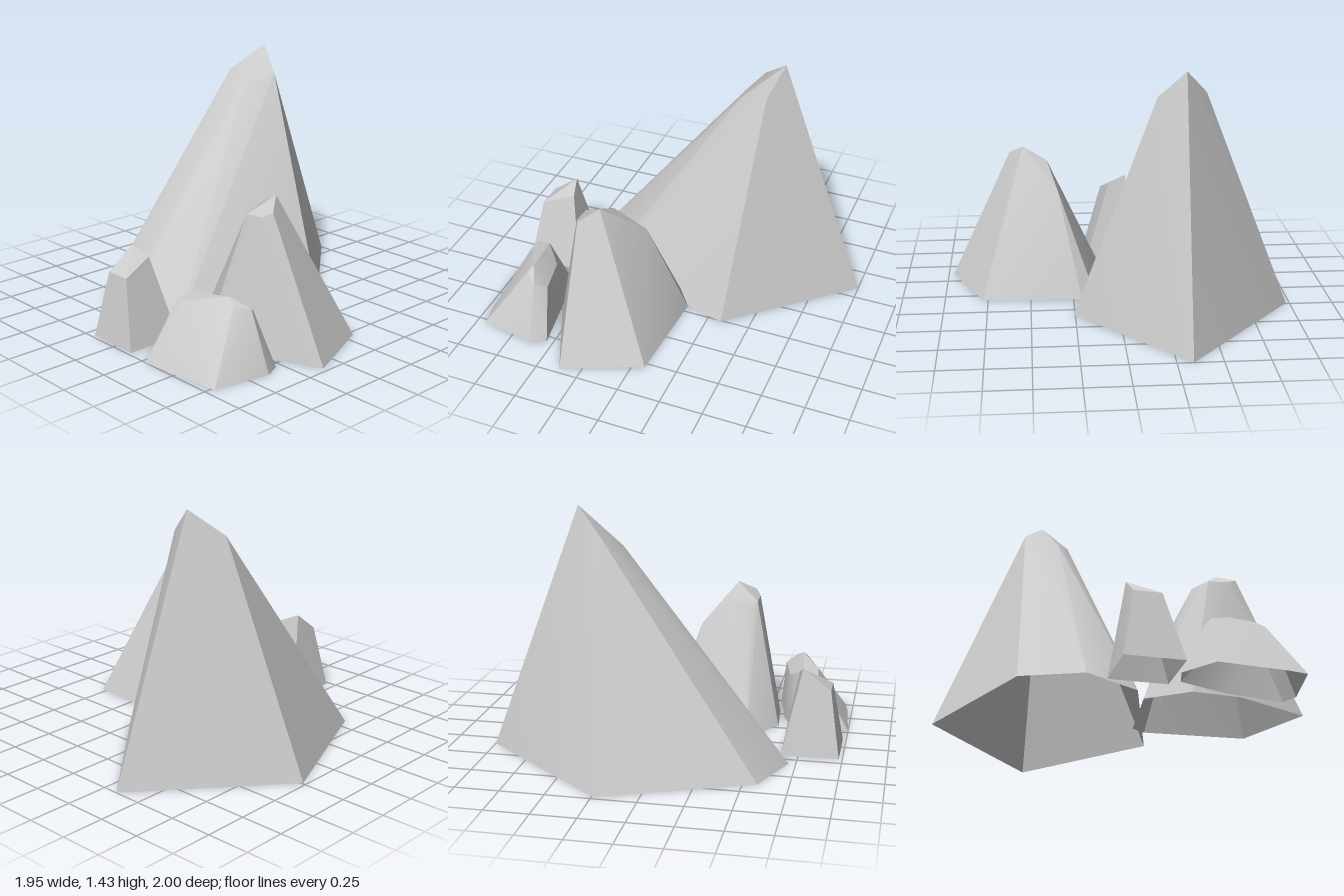
import * as THREE from 'three';
import { ConvexGeometry } from 'three/addons/geometries/ConvexGeometry.js';
import { toCreasedNormals } from 'three/addons/utils/BufferGeometryUtils.js';

const material = new THREE.MeshStandardMaterial({ color: 0xcccccc, side: THREE.DoubleSide });

// Hull over a ground outline [x, z] and crest points [x, y, z], left open underneath
function makeRock(name, outline, crest) {
  const points = [
    ...outline.map(([x, z]) => new THREE.Vector3(x, 0, z)),
    ...crest.map((p) => new THREE.Vector3(...p)),
  ];
  const hull = new ConvexGeometry(points).getAttribute('position');
  const shell = [];
  for (let i = 0; i < hull.count; i += 3) {
    const corners = [i, i + 1, i + 2];
    if (corners.every((k) => hull.getY(k) < 0.001)) continue;
    for (const k of corners) shell.push(hull.getX(k), hull.getY(k), hull.getZ(k));
  }
  const geometry = new THREE.BufferGeometry();
  geometry.setAttribute('position', new THREE.Float32BufferAttribute(shell, 3));
  const mesh = new THREE.Mesh(toCreasedNormals(geometry, 0.45), material);
  mesh.name = name;
  return mesh;
}

export function createModel() {
  const group = new THREE.Group();
  group.name = 'rockCluster';

  // Tall peak at the back
  group.add(makeRock('tallRock',
    [[-0.34, -1], [0.26, -0.33], [0, 0.53], [-0.31, 0.71], [-0.64, 0.58], [-0.98, -0.24]],
    [[-0.35, 1.43, -0.47], [-0.2, 1.28, -0.41], [-0.48, 1.28, -0.31],
      [-0.41, 1.2, -0.23], [-0.29, 1.2, -0.23], [-0.35, 1.14, -0.18]]));

  // Medium rock on the left
  group.add(makeRock('mediumRock',
    [[0.12, -0.05], [0.2, -0.1], [0.78, -0.07], [0.97, 0.37], [0.55, 0.56], [0.28, 0.58], [0.06, 0.42]],
    [[0.53, 0.83, 0.29], [0.61, 0.77, 0.39], [0.39, 0.75, 0.27], [0.33, 0.61, 0.1],
      [0.4, 0.7, 0.38], [0.44, 0.73, 0.42], [0.56, 0.74, 0.42]]));

  // Low, long rock at the front
  group.add(makeRock('lowRock',
    [[0.15, 0.82], [0.18, 0.7], [0.44, 0.6], [0.79, 0.54], [0.83, 0.63], [0.77, 0.95], [0.66, 0.97], [0.28, 1]],
    [[0.27, 0.27, 0.76], [0.32, 0.32, 0.81], [0.35, 0.345, 0.72], [0.42, 0.34, 0.8], [0.46, 0.355, 0.7],
      [0.6, 0.38, 0.69], [0.65, 0.35, 0.71], [0.71, 0.33, 0.64], [0.66, 0.29, 0.58], [0.44, 0.28, 0.63]]));

  // Small square-based rock at the front
  group.add(makeRock('smallRock',
    [[-0.19, 0.65], [0.13, 0.65], [0.13, 0.98], [-0.19, 0.98]],
    [[-0.12, 0.5, 0.76], [-0.01, 0.45, 0.73], [0.03, 0.38, 0.92], [-0.12, 0.38, 0.92]]));

  return group;
}
